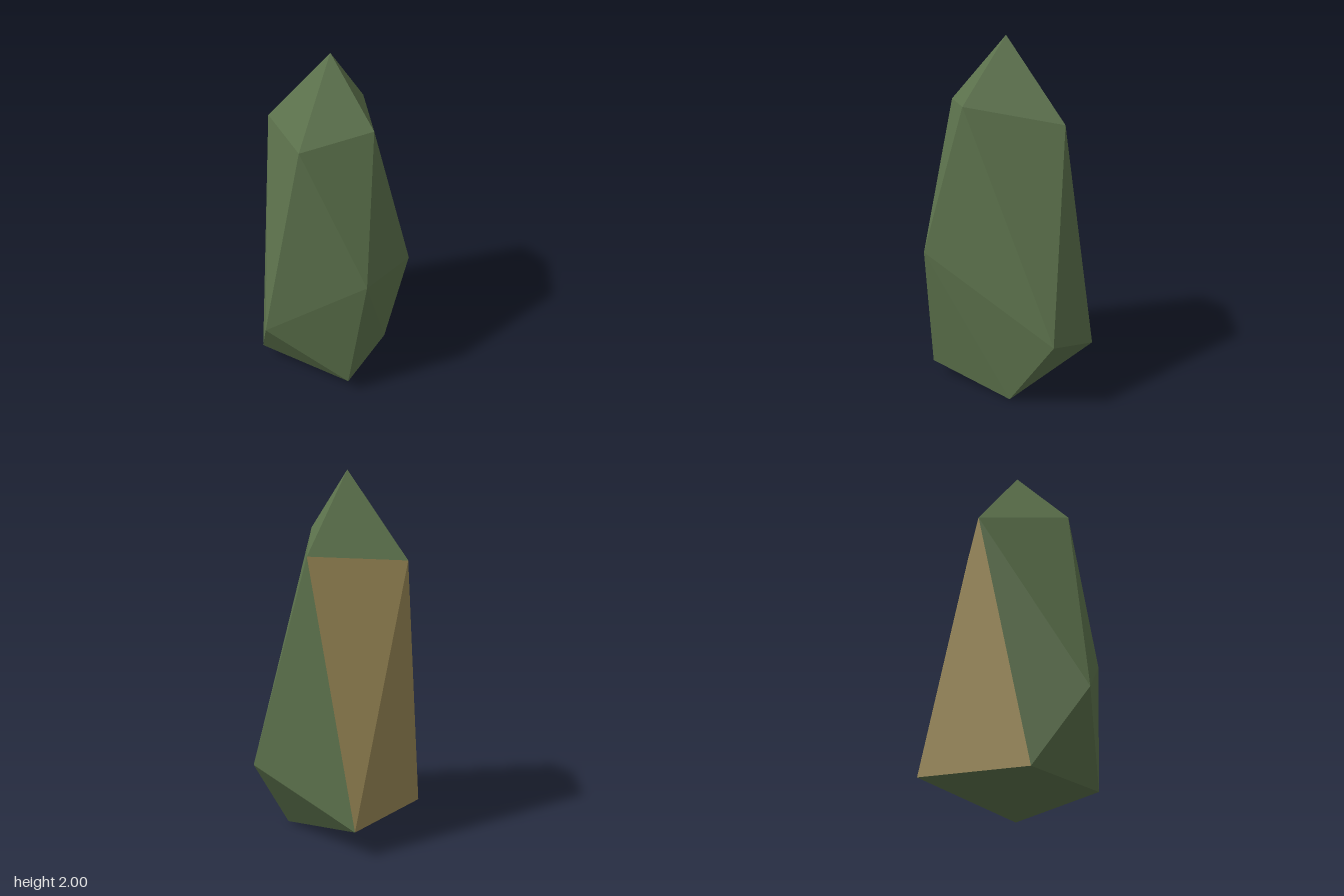
import * as THREE from 'three';

// Corner points of the faceted stone, from the tip down to the foot
const P = {
  tip: [-0.02, 2.0, 0],
  // shoulder ring
  a: [-0.38, 1.54, 0.105],
  b: [0.08, 1.61, 0.335],
  c: [0.28, 1.67, 0],
  d: [-0.11, 1.575, -0.36],
  // widest points
  e: [0.42, 0.83, 0.185],
  f: [0, 0.5, 0.55],
  g: [0.13, 0.43, -0.55],
  h: [-0.43, 0.15, -0.315],
  // foot
  i: [-0.235, 0.09, 0.37],
  j: [0.34, 0.09, 0.235],
  k: [0.19, 0, -0.268],
};
const core = new THREE.Vector3(0, 0.9, 0);

// Flat triangles, each turned to face away from the core
function facets(name, faces, material) {
  const pos = [];
  for (const face of faces) {
    const [p, q, r] = face.map((key) => new THREE.Vector3(...P[key]));
    const normal = q.clone().sub(p).cross(r.clone().sub(p));
    const outward = normal.dot(p.clone().sub(core)) > 0;
    for (const v of outward ? [p, q, r] : [p, r, q]) pos.push(v.x, v.y, v.z);
  }
  const geometry = new THREE.BufferGeometry();
  geometry.setAttribute('position', new THREE.Float32BufferAttribute(pos, 3));
  geometry.computeVertexNormals();
  const mesh = new THREE.Mesh(geometry, material);
  mesh.name = name;
  return mesh;
}

export function createModel() {
  const green = new THREE.MeshStandardMaterial({ color: 0x5c724c });
  green.name = 'mossGreen';
  const ochre = new THREE.MeshStandardMaterial({ color: 0x9a8856 });
  ochre.name = 'ochre';

  const stone = new THREE.Group();
  stone.name = 'standingStone';
  const T = 'tip';
  stone.add(
    // pointed cap
    facets('cap', [[T, 'a', 'b'], [T, 'b', 'c'], [T, 'c', 'd'], [T, 'd', 'a']], green),
    // tall side faces
    facets('sides', [
      ['d', 'h', 'g'], ['d', 'g', 'c'], ['c', 'g', 'e'], ['c', 'e', 'b'],
      ['b', 'e', 'f'], ['b', 'f', 'a'], ['a', 'f', 'i'],
    ], green),
    // ochre pair of side faces
    facets('ochreSides', [['a', 'd', 'h'], ['a', 'h', 'i']], ochre),
    // tapering foot and underside
    facets('foot', [
      ['e', 'f', 'j'], ['e', 'j', 'k'], ['e', 'k', 'g'], ['f', 'i', 'j'],
      ['i', 'j', 'k'], ['i', 'k', 'h'], ['h', 'k', 'g'],
    ], green),
  );
  return stone;
}
